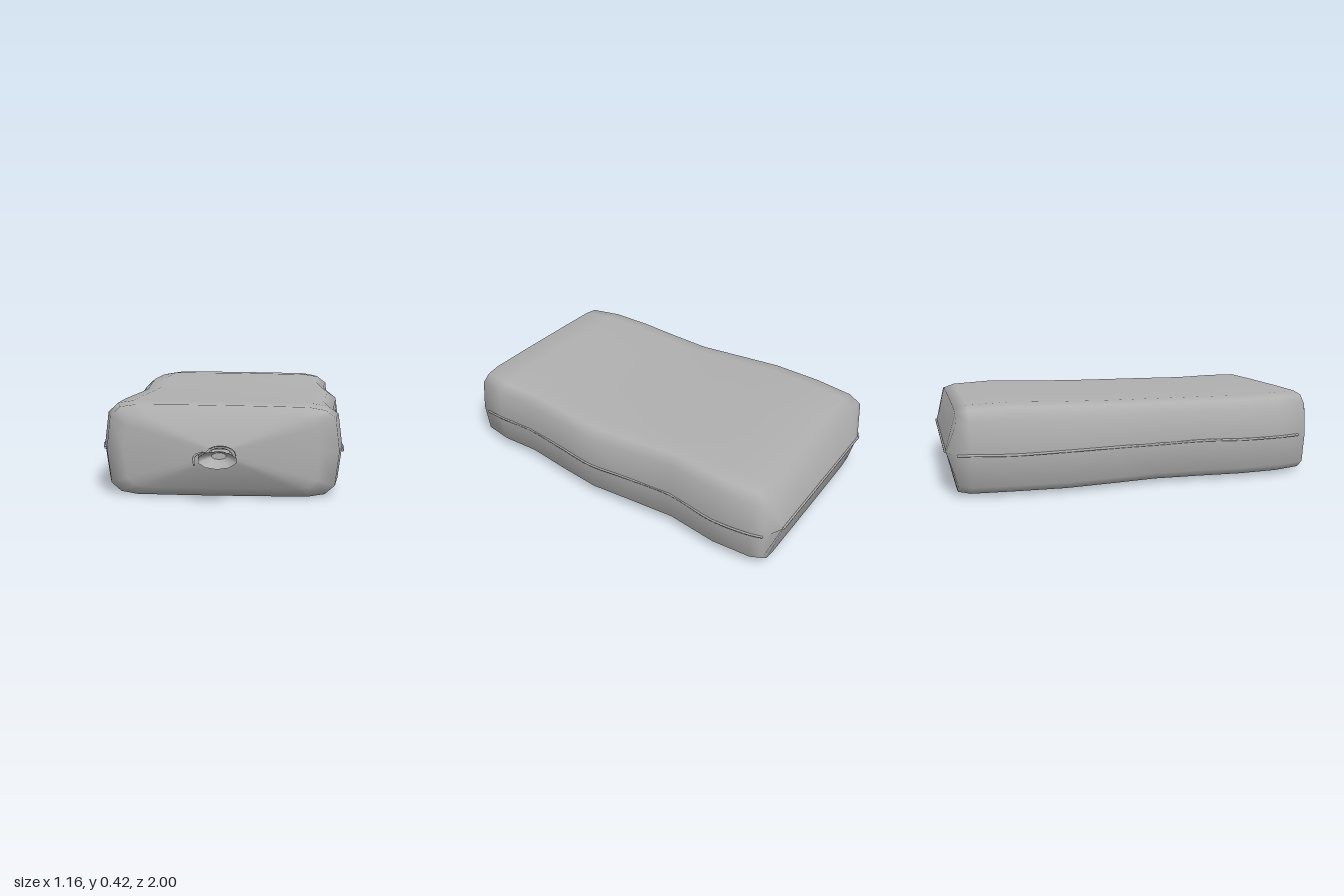
import * as THREE from 'three';

const MID = 0.205;
// One quadrant of the pillow cross-section, as fractions of half width and half height
const QUAD = [[1, 0], [0.965, 0.74], [0.88, 0.93], [0.74, 0.99], [0.3, 1]];
// Stations from back to front: z, left x, right x, bottom y, top y
const STATIONS = [
  [-0.99, -0.43, 0.43, MID, MID],
  [-0.945, -0.52, 0.52, 0.01, 0.395],
  [-0.89, -0.54, 0.54, 0, 0.412],
  [-0.7, -0.56, 0.555, 0, 0.42],
  [-0.45, -0.575, 0.527, 0, 0.414],
  [-0.2, -0.555, 0.55, 0, 0.405],
  [0, -0.535, 0.57, 0, 0.4],
  [0.22, -0.547, 0.552, 0, 0.4],
  [0.45, -0.565, 0.527, 0, 0.4],
  [0.65, -0.558, 0.538, 0, 0.404],
  [0.8, -0.515, 0.515, 0, 0.405],
  [0.85, -0.43, 0.43, 0.045, 0.36],
  [0.89, -0.04, 0.04, 0.185, 0.225],
];

// Full closed ring, counter-clockwise seen from the front
function ringShape() {
  const rev = [...QUAD].reverse();
  return [
    ...QUAD,
    ...rev.map(([u, v]) => [-u, v]),
    ...QUAD.slice(1).map(([u, v]) => [-u, -v]),
    ...rev.slice(0, -1).map(([u, v]) => [u, -v]),
  ];
}

// Lofted bag body
function bagGeometry() {
  const ring = ringShape();
  const n = ring.length;
  const pos = [];
  const index = [];
  STATIONS.forEach(([z, l, r, b, t], i) => {
    for (const [u, v] of ring) {
      const half = v > 0 ? t - MID : MID - b;
      // the top sags slightly towards the model's left
      const sag = v > 0.9 && half > 0.17 ? -0.005 * u : 0;
      pos.push((l + r) / 2 + u * (r - l) / 2, MID + v * half + sag, z);
    }
    if (i === 0) return;
    for (let j = 0; j < n; j++) {
      const k = (j + 1) % n;
      const a = (i - 1) * n + j, b2 = (i - 1) * n + k;
      const c = i * n + j, d = i * n + k;
      index.push(a, b2, d, a, d, c);
    }
  });
  const geo = new THREE.BufferGeometry();
  geo.setAttribute('position', new THREE.Float32BufferAttribute(pos, 3));
  geo.setIndex(index);
  geo.computeVertexNormals();
  return geo;
}

function tube(points, radius, segments, material, name) {
  const curve = new THREE.CatmullRomCurve3(points.map((p) => new THREE.Vector3(...p)));
  const mesh = new THREE.Mesh(new THREE.TubeGeometry(curve, segments, radius, 5), material);
  mesh.name = name;
  return mesh;
}

export function createModel() {
  const group = new THREE.Group();
  group.name = 'tiedBag';
  const fabric = new THREE.MeshStandardMaterial({ color: 0xb0b0b0 });
  fabric.name = 'grey fabric';
  fabric.side = THREE.DoubleSide;

  const body = new THREE.Mesh(bagGeometry(), fabric);
  body.name = 'bagBody';
  group.add(body);

  // Raised stitching along both sides, slightly uneven
  for (const [col, name] of [[1, 'rightSeam'], [2, 'leftSeam']]) {
    const pts = STATIONS.slice(1, 10).map((s, i) => [s[col], MID + 0.003 * Math.sin(i * 2.3), s[0]]);
    pts.push([STATIONS[10][col] * 1.035, MID - 0.003, 0.75]);
    group.add(tube(pts, 0.006, 60, fabric, name));
  }
  // Stitching across the back edge
  group.add(tube([[-0.42, MID, -0.993], [0, MID, -0.993], [0.42, MID, -0.993]], 0.006, 8, fabric, 'backSeam'));

  // Gathered neck flaring out to an open, oval mouth
  const profile = [[0.036, 0], [0.033, 0.03], [0.058, 0.07], [0.084, 0.12]];
  const neckGeo = new THREE.LatheGeometry(profile.map(([x, y]) => new THREE.Vector2(x, y)), 10);
  neckGeo.rotateX(Math.PI / 2);
  neckGeo.scale(1, 0.46, 1);
  const neck = new THREE.Mesh(neckGeo, fabric);
  neck.name = 'neck';
  neck.position.set(-0.005, 0.2, 0.88);
  group.add(neck);

  // Closed bottom of the neck
  const plug = new THREE.Mesh(new THREE.CircleGeometry(0.035, 10), fabric);
  plug.name = 'neckBottom';
  plug.scale.y = 0.5;
  plug.position.set(-0.005, 0.2, 0.905);
  group.add(plug);

  // Cord wound around the neck with two loose ends
  for (const z of [0.898, 0.908]) {
    const cord = new THREE.Mesh(new THREE.TorusGeometry(0.048, 0.006, 6, 16), fabric);
    cord.name = 'cordLoop';
    cord.scale.set(1.25, 0.8, 1);
    cord.position.set(0, 0.2, z);
    group.add(cord);
  }
  group.add(
    tube([[-0.055, 0.205, 0.9], [-0.085, 0.212, 0.905], [-0.11, 0.2, 0.93], [-0.105, 0.17, 0.965]], 0.005, 14, fabric, 'cordEnd'),
    tube([[-0.055, 0.2, 0.905], [-0.075, 0.212, 0.92], [-0.09, 0.198, 0.91], [-0.075, 0.188, 0.93]], 0.005, 14, fabric, 'cordEnd'),
  );
  return group;
}
